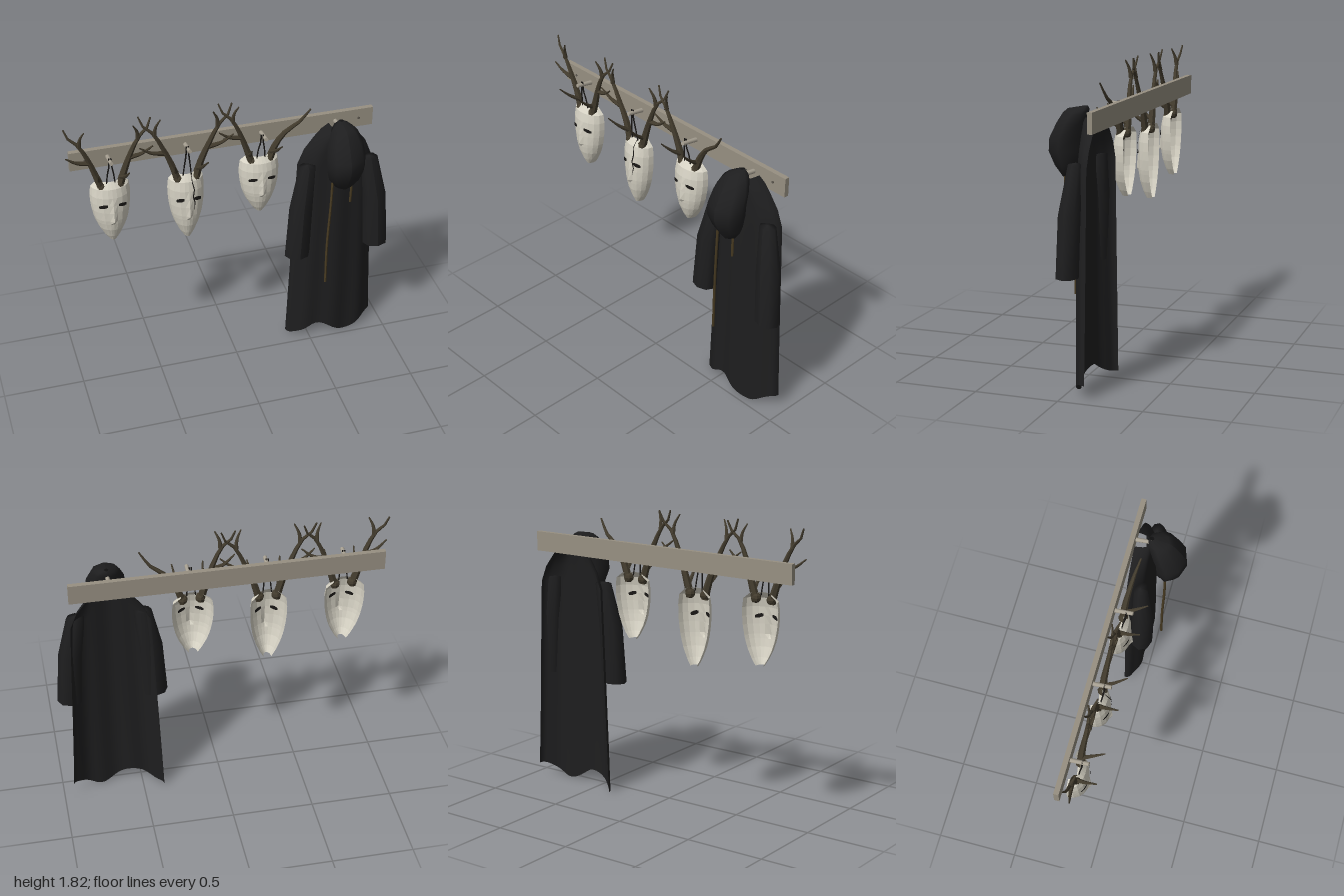
import * as THREE from 'three';

const mat = (name, color, extra = {}) => {
  const m = new THREE.MeshStandardMaterial({ color, side: THREE.DoubleSide, ...extra });
  m.name = name;
  return m;
};
const V = (x, y, z) => new THREE.Vector3(x, y, z);

function add(parent, name, geometry, material) {
  const mesh = new THREE.Mesh(geometry, material);
  mesh.name = name;
  parent.add(mesh);
  return mesh;
}

// surface from rows (top to bottom) and columns (left to right)
function grid(rows, cols, fn) {
  const pos = [], index = [];
  for (let i = 0; i < rows; i++) for (let j = 0; j < cols; j++) {
    pos.push(...fn(i, j));
    if (i < rows - 1 && j < cols - 1) {
      const a = i * cols + j, c = a + cols;
      index.push(a, c, a + 1, a + 1, c, c + 1);
    }
  }
  const g = new THREE.BufferGeometry();
  g.setAttribute('position', new THREE.Float32BufferAttribute(pos, 3));
  g.setIndex(index);
  g.computeVertexNormals();
  return g;
}

// tube along points whose radius changes from r0 to r1
function taperTube(points, r0, r1, segments = 8, sides = 6) {
  const curve = new THREE.CatmullRomCurve3(points);
  const g = new THREE.TubeGeometry(curve, segments, 1, sides);
  const p = g.attributes.position, v = V();
  for (let i = 0; i < p.count; i++) {
    const t = Math.floor(i / (sides + 1)) / segments, c = curve.getPointAt(t);
    v.fromBufferAttribute(p, i).sub(c).multiplyScalar(r0 + (r1 - r0) * t).add(c);
    p.setXYZ(i, v.x, v.y, v.z);
  }
  g.computeVertexNormals();
  return g;
}

// mask rows: fraction down, half width, depth, nose height
const MASK_ROWS = [
  [0, 0.068, 0.05, 0], [0.09, 0.114, 0.08, 0], [0.22, 0.121, 0.092, 0], [0.34, 0.12, 0.094, 0.005],
  [0.46, 0.115, 0.096, 0.01], [0.6, 0.104, 0.095, 0.015], [0.66, 0.097, 0.092, 0.001],
  [0.77, 0.081, 0.084, 0], [0.91, 0.051, 0.064, 0], [1, 0.025, 0.045, 0],
];
const MASK_ANGLES = [-1.571, -1.2, -0.85, -0.5, -0.22, 0, 0.22, 0.5, 0.85, 1.2, 1.571];

function maskPoint(a, t, m, lift = 0) {
  let k = 0;
  while (k < MASK_ROWS.length - 2 && MASK_ROWS[k + 1][0] < t) k++;
  const A = MASK_ROWS[k], B = MASK_ROWS[k + 1], f = (t - A[0]) / (B[0] - A[0]);
  const [w, d, n] = [1, 2, 3].map(q => A[q] + (B[q] - A[q]) * f);
  const nose = n * Math.max(0, 1 - Math.abs(a) / 0.22);
  return [m.x + (w * m.wide + lift) * Math.sin(a), m.top - t * m.tall, -0.138 + (d + lift) * Math.cos(a) + nose];
}

function buildMask(m, mats) {
  const mask = new THREE.Group();
  mask.name = 'hornedMask';
  add(mask, 'maskShell', grid(MASK_ROWS.length, MASK_ANGLES.length,
    (i, j) => maskPoint(MASK_ANGLES[j], MASK_ROWS[i][0], m)), mats.bone);

  for (const s of [-1, 1]) {
    // slanted eye slit, on the outside and inside of the shell
    for (const lift of [0.005, -0.006]) {
      add(mask, 'eyeSlit', grid(3, 7, (i, j) => {
        const u = j / 6 * 2 - 1;
        const half = 0.028 * Math.sqrt(1 - u * u * 0.7);
        return maskPoint(s * 0.49 + u * 0.23, 0.345 + s * u * 0.014 + (i - 1) * half, m, lift);
      }), mats.dark);
    }

    // antler: beam, fork, side tine, brow tine
    const k = m.antler, base = m.top - 0.035;
    const P = (x, y, z) => V(m.x + s * x * (y > 0.1 ? k : 1), base + y * k, z);
    const tine = (name, r0, r1, ...pts) => add(mask, name, taperTube(pts.map(q => P(...q)), r0, r1), mats.antler);
    if (s === 1 && m.broken) {
      tine('antlerBeam', 0.025, 0.005, [0.05, -0.02, -0.1], [0.09, 0.09, -0.1], [0.15, 0.18, -0.09], [0.225, 0.235, -0.08], [0.287, 0.325, -0.06]);
    } else {
      tine('antlerBeam', 0.025, 0.005, [0.05, -0.02, -0.1], [0.085, 0.09, -0.1], [0.13, 0.22, -0.09], [0.18, 0.32, -0.085], [0.225, 0.36, -0.09], [0.252, 0.425, -0.1]);
      tine('antlerFork', 0.014, 0.004, [0.172, 0.305, -0.085], [0.165, 0.36, -0.075], [0.142, 0.41, -0.06]);
      tine('antlerTine', 0.016, 0.004, [0.115, 0.18, -0.095], [0.19, 0.2, -0.085], [0.255, 0.25, -0.07]);
    }
    tine('browTine', 0.015, 0.004, [0.065, 0.05, -0.1], [0.078, 0.09, -0.04], [0.09, 0.16, 0.035]);
    const burr = add(mask, 'antlerBurr', new THREE.SphereGeometry(0.03, 8, 6), mats.antler);
    burr.position.copy(P(0.052, 0, -0.1));

    // hanging cord
    add(mask, 'hangingCord', taperTube([V(m.x + s * 0.026, m.top - 0.02, -0.09), V(m.x + s * 0.018, m.top + 0.06, -0.08),
      V(m.x + s * 0.008, 1.54, -0.07), V(m.x + s * 0.006, 1.592, -0.07)], 0.004, 0.005, 8, 5), mats.dark);
  }

  // jagged crack
  if (m.crack) {
    const path = [[0.32, 0.01, 0.02], [0.2, 0.1, 0.025], [0.28, 0.2, 0.03], [0.2, 0.3, 0.035], [0.3, 0.4, 0.03], [0.24, 0.5, 0.008]];
    add(mask, 'crack', grid(path.length, 2, (i, j) =>
      maskPoint(path[i][0] + (j * 2 - 1) * path[i][2], path[i][1], m, 0.006)), mats.dark);
  }
  return mask;
}

// closed ring loft from [y, halfWidth, backZ, frontZ, centreX]
function ringLoft(rings, segs) {
  return grid(rings.length, segs + 1, (i, j) => {
    const [y, w, zb, zf, cx] = rings[i], a = (j % segs) / segs * Math.PI * 2;
    return [cx + w * Math.sin(a), y, (zb + zf) / 2 + (zf - zb) / 2 * Math.cos(a)];
  });
}

function buildRobe(mats) {
  const robe = new THREE.Group(), cx = 0.655;
  robe.name = 'hangingRobe';

  // gown: half shell open at the back, with folds and a wavy hem; [y, halfWidth, depth]
  const body = [
    [1.56, 0.045, 0.095], [1.53, 0.09, 0.103], [1.48, 0.135, 0.105], [1.4, 0.195, 0.105], [1.3, 0.235, 0.106],
    [1.05, 0.245, 0.108], [0.7, 0.258, 0.11], [0.35, 0.272, 0.11], [0.05, 0.285, 0.105],
  ];
  const cols = 33;
  add(robe, 'gown', grid(body.length, cols, (i, j) => {
    const [y, w, d] = body[i], a = (j / (cols - 1) - 0.5) * Math.PI;
    const x = cx + w * Math.sin(a);
    const fold = Math.cos(a * 9) * 0.0011 * i * Math.cos(a);
    const hem = i === body.length - 1 ? -0.042 * Math.cos((x - 0.37) / 0.38 * Math.PI * 2) : 0;
    return [x, y + hem, -0.136 + d * Math.cos(a) + fold];
  }), mats.cloth);

  // drooping hood
  const hood = [
    [1.622, 0.012, -0.06, -0.03], [1.605, 0.06, -0.068, 0.06], [1.58, 0.085, -0.062, 0.09], [1.52, 0.11, -0.045, 0.13], [1.44, 0.119, -0.025, 0.17],
    [1.37, 0.119, -0.02, 0.173], [1.29, 0.1, -0.01, 0.135], [1.225, 0.055, 0.02, 0.09], [1.21, 0.012, 0.05, 0.08],
  ];
  add(robe, 'hood', ringLoft(hood.map(r => [...r, cx]), 8), mats.cloth);

  // sleeves, closed at the shoulder
  for (const s of [-1, 1]) {
    const sleeve = [
      [1.335, 0.001, -0.058, -0.057, 0.197], [1.325, 0.053, -0.1, -0.015, 0.197], [1.05, 0.075, -0.102, 0.03, 0.237], [0.7, 0.08, -0.096, 0.038, 0.256],
    ];
    add(robe, 'sleeve', ringLoft(sleeve.map(([y, w, b, f, dx]) => [y, w, b, f, cx + s * dx]), 8), mats.cloth);
  }

  // neck cords, one long and one short
  add(robe, 'longCord', taperTube([V(0.58, 1.27, 0.06), V(0.575, 1.1, 0.062), V(0.563, 0.8, 0.057), V(0.562, 0.51, 0.058)], 0.008, 0.008, 12), mats.rope);
  add(robe, 'shortCord', taperTube([V(0.7, 1.27, 0.06), V(0.7, 1.18, 0.062), V(0.698, 1.1, 0.06)], 0.008, 0.008, 6), mats.rope);
  return robe;
}

export function createModel() {
  const mats = {
    wood: mat('weatheredWood', 0x979082, { flatShading: true }),
    peg: mat('paleWood', 0xa8a193),
    bone: mat('boneWhite', 0xd6d2c4, { flatShading: true }),
    antler: mat('antlerBrown', 0x423b2d, { flatShading: true }),
    dark: mat('nearBlack', 0x1a1816),
    cloth: mat('blackCloth', 0x1e1e1f),
    rope: mat('ropeBrown', 0x483b22),
    iron: mat('nailGrey', 0x5c574e),
  };
  const model = new THREE.Group();
  model.name = 'coatRack';

  // board, pegs and nails
  add(model, 'board', new THREE.BoxGeometry(1.85, 0.12, 0.03), mats.wood).position.set(-0.035, 1.56, -0.155);
  for (const x of [-0.735, -0.272, 0.19, 0.652]) {
    const peg = add(model, 'peg', new THREE.CylinderGeometry(0.012, 0.014, 0.115, 8), mats.peg);
    peg.rotation.x = Math.PI / 2 - 0.15;
    peg.position.set(x, 1.572, -0.088);
  }
  for (const x of [-0.87, -0.035, 0.8]) {
    const nail = add(model, 'nail', new THREE.CylinderGeometry(0.008, 0.008, 0.006, 6), mats.iron);
    nail.rotation.x = Math.PI / 2;
    nail.position.set(x, 1.56, -0.138);
  }

  // three masks
  const masks = [
    { x: -0.735, top: 1.42, tall: 0.42, wide: 1, antler: 1 },
    { x: -0.278, top: 1.39, tall: 0.46, wide: 0.92, antler: 1.1, crack: true },
    { x: 0.175, top: 1.43, tall: 0.4, wide: 1.02, antler: 1.02, broken: true },
  ];
  for (const m of masks) model.add(buildMask(m, mats));

  model.add(buildRobe(mats));
  return model;
}
